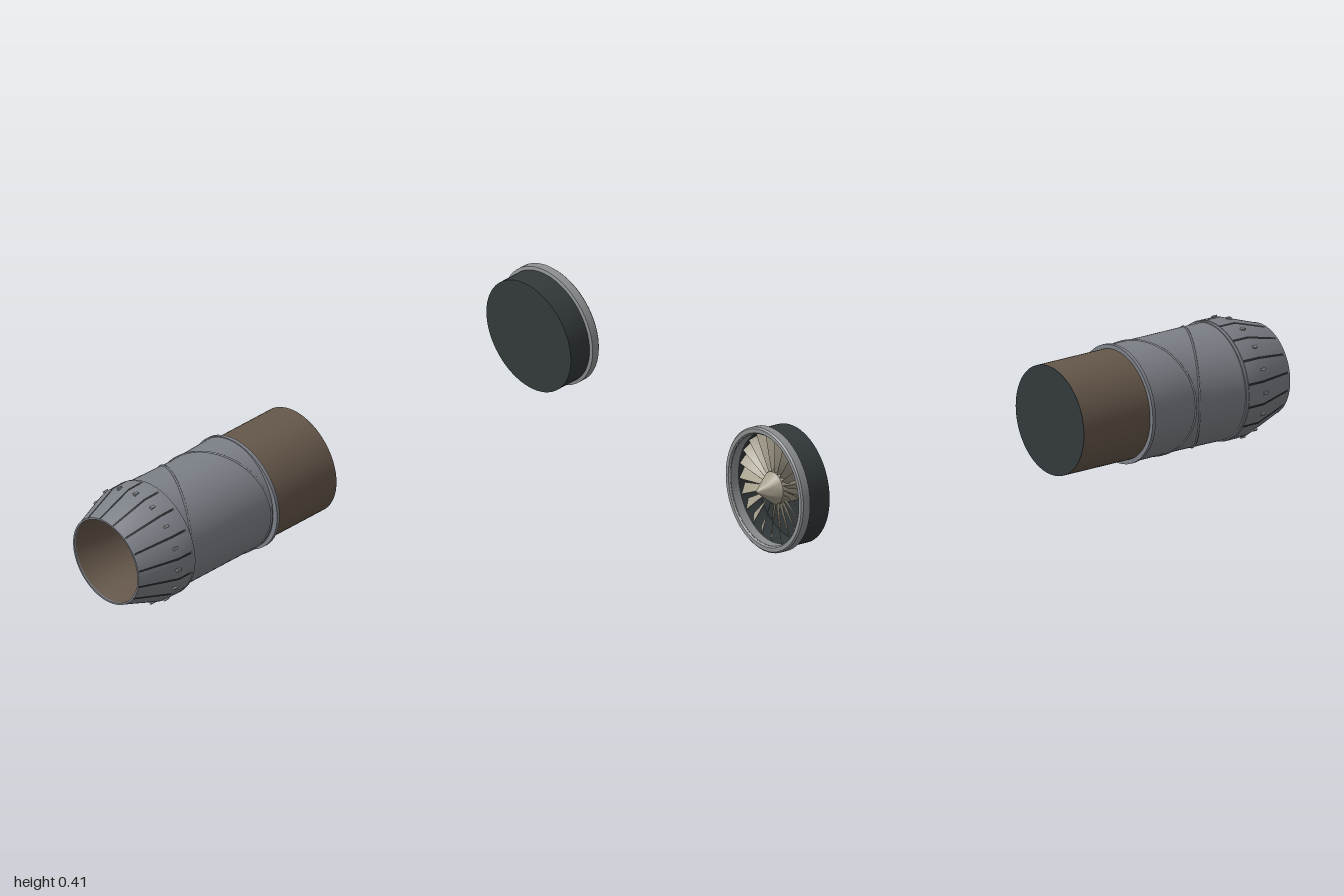
import * as THREE from 'three';
import { toCreasedNormals } from 'three/addons/utils/BufferGeometryUtils.js';

const AXIS_Y = 0.204;
const paint = (color, side = THREE.FrontSide) => new THREE.MeshStandardMaterial({ color, side });
const GREY = paint(0x7c8087, THREE.DoubleSide);
const TRIM = paint(0x8d9092);
const BROWN = paint(0x65574a, THREE.DoubleSide);
const DARK = paint(0x33393b, THREE.DoubleSide);
const SEAM = paint(0x2a2c2e);
const BLADE = paint(0xa39c8a, THREE.DoubleSide);

// Lathe turned about the z axis from [radius, z] pairs; rising z faces outward
function turned(profile, segments = 64, start = 0, length = Math.PI * 2) {
  const points = profile.map(([r, z]) => new THREE.Vector2(r, z));
  const geometry = new THREE.LatheGeometry(points, segments, start, length).rotateX(Math.PI / 2);
  return toCreasedNormals(geometry, 0.5);
}

function add(parent, name, geometry, material) {
  const mesh = new THREE.Mesh(geometry, material);
  mesh.name = name;
  parent.add(mesh);
  return mesh;
}

// Swivel duct section: narrower in x than y, pinched on the -x side at mid length
const MID = 0.615, HALF = 0.185;
function ductX(cos, z) {
  return cos * (cos > 0 ? 0.176 : 0.176 + 0.013 * Math.abs(z - MID) / HALF);
}

function swivelDuct() {
  const group = new THREE.Group();
  group.name = 'swivelDuct';
  const body = new THREE.CylinderGeometry(1, 1, HALF * 2, 64, 8, true).rotateX(Math.PI / 2).translate(0, 0, MID);
  const p = body.attributes.position;
  for (let i = 0; i < p.count; i++) p.setXY(i, ductX(p.getX(i), p.getZ(i)), p.getY(i) * 0.191);
  body.computeVertexNormals();
  add(group, 'ductSkin', body, GREY);

  // Slanted bearing joints that meet on the -x side
  for (const s of [-1, 1]) {
    const path = [];
    for (let i = 0; i < 48; i++) {
      const a = i / 48 * Math.PI * 2;
      const z = MID + s * (0.09 + 0.083 * Math.cos(a));
      path.push(new THREE.Vector3(ductX(Math.cos(a), z), 0.191 * Math.sin(a), z));
    }
    const curve = new THREE.CatmullRomCurve3(path, true);
    add(group, 'bearingJoint', new THREE.TubeGeometry(curve, 96, 0.0035, 6, true), GREY);
  }
  // End flanges
  for (const z of [0.43, 0.8]) {
    add(group, 'endFlange', turned([[0.172, z - 0.006], [0.194, z - 0.006], [0.194, z + 0.006], [0.172, z + 0.006]]), GREY);
  }
  return group;
}

function nozzle() {
  const group = new THREE.Group();
  group.name = 'nozzle';
  const count = 16, step = Math.PI * 2 / count, gap = 0.024;
  add(group, 'seamShell', turned([[0.186, 0.803], [0.19, 0.86], [0.144, 0.996]]), SEAM);
  for (let i = 0; i < count; i++) {
    // Petal between two seams
    add(group, 'petal', turned(
      [[0.184, 0.804], [0.196, 0.804], [0.195, 0.865], [0.149, 1], [0.144, 1]],
      5, (i - 0.5) * step + gap / 2, step - gap), GREY);
    // Hinge block on the petal's centre line
    const hinge = new THREE.Group();
    hinge.name = 'petalHinge';
    hinge.rotation.z = i * step;
    add(hinge, 'hingeBlock', new THREE.BoxGeometry(0.011, 0.009, 0.016), TRIM).position.set(0.194, 0, 0.868);
    group.add(hinge);
  }
  add(group, 'exitRim', turned([[0.149, 0.994], [0.15, 1], [0.144, 1], [0.144, 0.994]]), GREY);
  // Inner liner, stepping in to the exhaust annulus
  add(group, 'liner', turned([[0.145, 0.999], [0.126, 0.88], [0.125, 0.55], [0.1, 0.55]]), BROWN);
  // Exhaust plug
  add(group, 'exhaustPlug', turned([[0.1, 0.55], [0.054, 0.63], [0, 0.645]]), DARK);
  return group;
}

// Twisted blade with its span along +x
function bladeGeometry() {
  const root = 0.045, tip = 0.179;
  const g = new THREE.BoxGeometry(1, 1, 1, 6, 1, 1);
  const p = g.attributes.position;
  for (let i = 0; i < p.count; i++) {
    const t = p.getX(i) + 0.5;
    const chord = p.getY(i) * (0.02 + 0.02 * t);
    const thick = p.getZ(i) * 0.002;
    const a = THREE.MathUtils.lerp(1.05, 0.55, t);
    p.setXYZ(i, root + (tip - root) * t,
      chord * Math.cos(a) - thick * Math.sin(a),
      chord * Math.sin(a) + thick * Math.cos(a));
  }
  return toCreasedNormals(g, 0.6);
}

function fan() {
  const group = new THREE.Group();
  group.name = 'fan';
  add(group, 'fanCase', turned([[0.193, -0.94], [0.193, -0.853], [0, -0.853]]), DARK);
  add(group, 'fanDuct', turned([[0, -0.86], [0.182, -0.86], [0.182, -0.965]]), DARK);
  add(group, 'intakeLip', turned([
    [0.181, -0.935], [0.181, -0.963], [0.186, -0.97], [0.199, -0.97],
    [0.204, -0.965], [0.204, -0.938], [0.193, -0.935]]), TRIM);
  // Pointed spinner on a short hub
  add(group, 'spinner', turned([[0, -1], [0.026, -0.968], [0.053, -0.932], [0.055, -0.86]], 32), BLADE);
  const blade = bladeGeometry(), count = 22;
  for (let i = 0; i < count; i++) {
    const mesh = add(group, 'fanBlade', blade, BLADE);
    mesh.position.z = -0.92;
    mesh.rotation.z = i / count * Math.PI * 2;
  }
  return group;
}

export function createModel() {
  const model = new THREE.Group();
  model.name = 'engineParts';
  model.position.y = AXIS_Y;
  // Closed rear pipe
  add(model, 'rearPipe', turned([[0.18, 0.163], [0.18, 0.43]]), BROWN);
  add(model, 'rearCap', turned([[0, 0.162], [0.18, 0.162], [0.18, 0.164]]), DARK);
  model.add(swivelDuct(), nozzle(), fan());
  const root = new THREE.Group();
  root.name = 'engine';
  root.add(model);
  return root;
}
